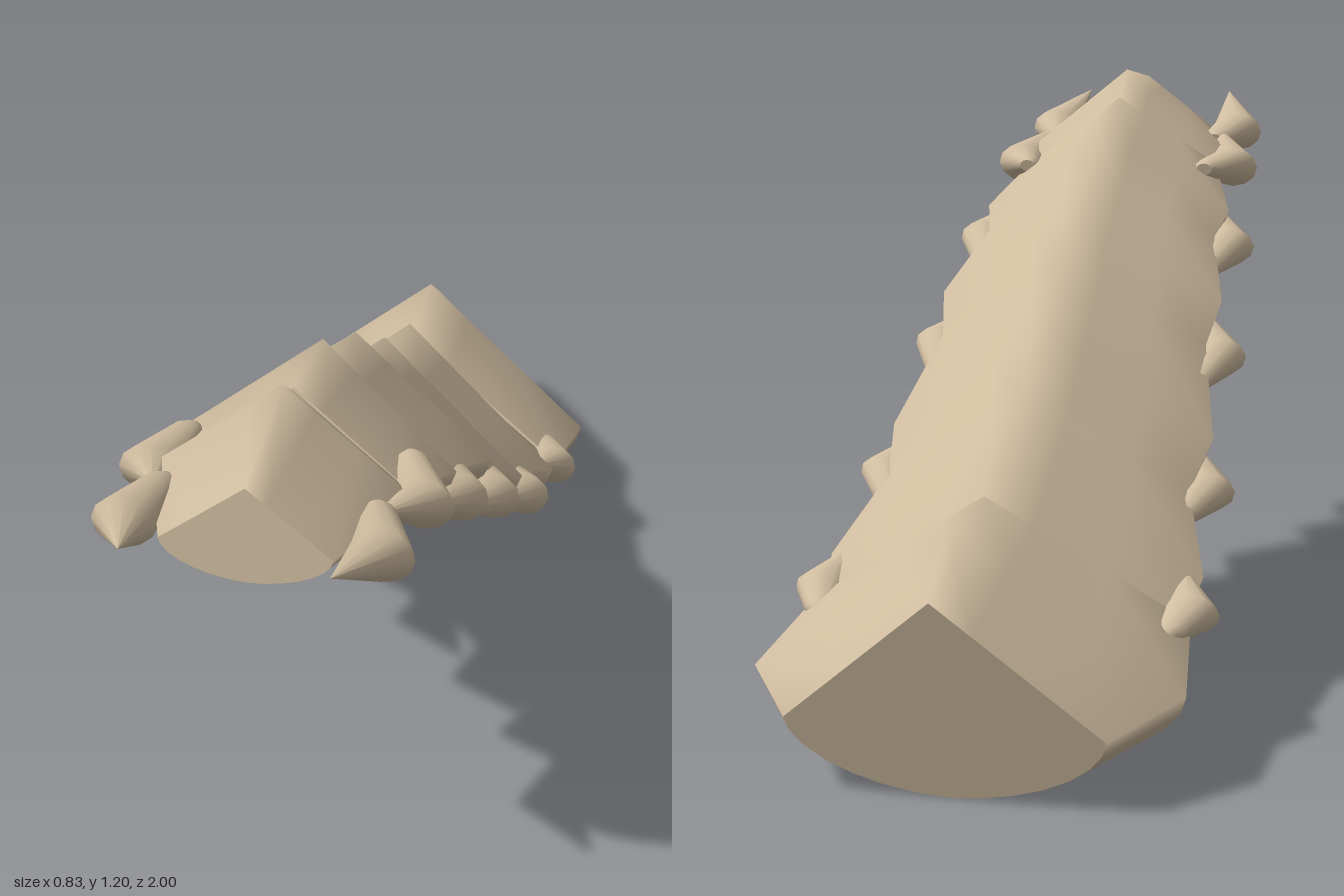
import * as THREE from 'three';

const V = (x, y, z) => new THREE.Vector3(x, y, z);

// Smooth skin through closed rings ordered back to front, each counterclockwise seen from the front
function loft(rings) {
  const n = rings[0].length, pos = [], idx = [];
  rings.forEach(r => r.forEach(p => pos.push(p.x, p.y, p.z)));
  for (let i = 0; i < rings.length - 1; i++) {
    for (let j = 0; j < n; j++) {
      const k = (j + 1) % n;
      const a = i * n + j, b = i * n + k, c = b + n, d = a + n;
      idx.push(a, b, d, b, c, d);
    }
  }
  // flat end caps with their own vertices
  [rings[0], rings[rings.length - 1]].forEach((r, end) => {
    const base = pos.length / 3;
    r.forEach(p => pos.push(p.x, p.y, p.z));
    for (let j = 1; j < n - 1; j++) {
      if (end) idx.push(base, base + j, base + j + 1);
      else idx.push(base, base + j + 1, base + j);
    }
  });
  const g = new THREE.BufferGeometry();
  g.setAttribute('position', new THREE.Float32BufferAttribute(pos, 3));
  g.setIndex(idx);
  g.computeVertexNormals();
  return g;
}

// Cross-section: roof ridge above, shallow rounded belly below
function section([zTop, yTop, zLow, yLow, w]) {
  const pts = [];
  const put = (x, t) => pts.push(V(x * w, yTop + (yLow - yTop) * t, zTop + (zLow - zTop) * t));
  const eave = 0.64, N = 14;
  [0, 0.25, 0.6].forEach(k => put(-k, eave * k));
  for (let i = 0; i <= N; i++) {
    const a = Math.PI * i / N, c = Math.cos(a), s = Math.max(0, Math.sin(a));
    put(-Math.sign(c) * Math.abs(c) ** 1.1, eave + (1 - eave) * s ** 1.1);
  }
  [0.6, 0.25].forEach(k => put(k, eave * k));
  return pts;
}

// Side spine: rounded root, wide collar, then a pointed cone
function spine(side, tip, outer, root, r) {
  const T = V(tip[0] * side, tip[1], tip[2]);
  const R = V(root[0] * side, root[1], root[2]);
  const M = V((outer[0] - r) * side, outer[1], outer[2]);
  const axis = T.clone().sub(R).normalize();
  const u = V(1, 0, 0).addScaledVector(axis, -axis.x).normalize();
  const v = axis.clone().cross(u);
  const ring = (c, rad) => Array.from({ length: 12 }, (_, i) => {
    const a = i * Math.PI / 6;
    return c.clone().addScaledVector(u, Math.cos(a) * rad).addScaledVector(v, Math.sin(a) * rad * 0.8);
  });
  return loft([
    ring(R, r * 0.3),
    ring(R.clone().lerp(M, 0.15), r * 0.55),
    ring(M, r),
    ring(T, 0.001),
  ]);
}

export function createModel() {
  const group = new THREE.Group();
  const hide = new THREE.MeshStandardMaterial({ color: 0xd0bda0 });
  hide.name = 'tan hide';
  const add = (name, geometry) => {
    const m = new THREE.Mesh(geometry, hide);
    m.name = name;
    group.add(m);
  };

  // Rings: ridge z, ridge y, belly z, belly y, half width
  add('rearSegment', loft([
    [-1, 0.39, -0.89, 0.005, 0.29],
    [-0.87, 0.49, -0.73, 0.01, 0.4],
    [-0.64, 0.49, -0.49, 0.11, 0.365],
  ].map(section)));

  add('middleSegments', loft([
    [-0.67, 0.46, -0.5, 0.13, 0.34],
    [-0.6, 0.55, -0.35, 0.165, 0.37],
    [-0.365, 0.62, -0.2, 0.315, 0.31],
    [-0.3, 0.71, -0.05, 0.39, 0.335],
    [-0.05, 0.825, 0.11, 0.57, 0.285],
    [0, 0.92, 0.2, 0.645, 0.305],
    [0.22, 1.005, 0.38, 0.775, 0.255],
    [0.29, 1.095, 0.45, 0.8, 0.275],
    [0.52, 1.145, 0.6, 0.91, 0.215],
  ].map(section)));

  add('frontSegment', loft([
    [0.5, 1.12, 0.57, 0.92, 0.19],
    [0.6, 1.205, 0.64, 0.915, 0.235],
    [0.86, 1.178, 0.88, 0.995, 0.15],
  ].map(section)));

  // Spines: tip, outermost point, root, collar radius
  const spines = [
    [[0.175, 1.135, 1], [0.28, 1.05, 0.83], [0.19, 1.04, 0.69], 0.058],
    [[0.2, 1.06, 0.73], [0.306, 0.985, 0.6], [0.205, 0.99, 0.47], 0.058],
    [[0.22, 0.91, 0.52], [0.335, 0.83, 0.37], [0.24, 0.79, 0.23], 0.058],
    [[0.245, 0.705, 0.26], [0.362, 0.63, 0.1], [0.27, 0.59, -0.03], 0.058],
    [[0.27, 0.49, -0.05], [0.39, 0.41, -0.2], [0.295, 0.38, -0.31], 0.058],
    [[0.33, 0.32, -0.43], [0.415, 0.255, -0.52], [0.33, 0.24, -0.63], 0.055],
  ];
  spines.forEach((s, i) => {
    add('leftSpine' + (i + 1), spine(1, ...s));
    add('rightSpine' + (i + 1), spine(-1, ...s));
  });
  return group;
}
